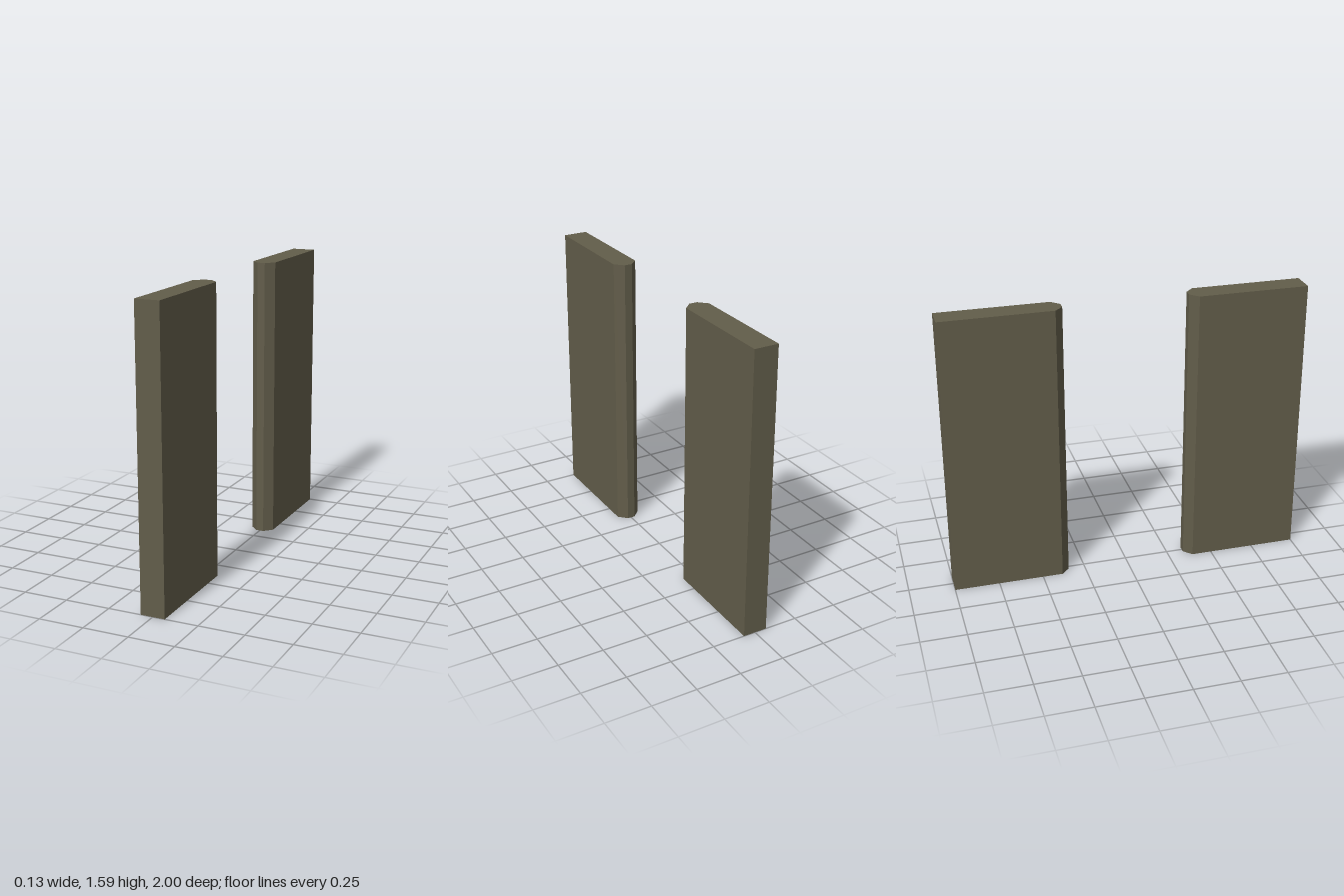
import * as THREE from 'three';

export function createModel() {
  const group = new THREE.Group();
  group.name = 'wallPair';

  const wallPaint = new THREE.MeshStandardMaterial({ color: 0x625d4a });
  wallPaint.name = 'drabOlive';

  const height = 1.59, half = 0.067, tip = 0.022;
  const outer = 1, shoulder = 0.388, inner = 0.343;

  // Plan outline: square outer end, chamfered inner end
  const plan = new THREE.Shape([
    [-half, outer], [-half, shoulder], [-tip, inner],
    [tip, inner], [half, shoulder], [half, outer],
  ].map(([x, y]) => new THREE.Vector2(x, y)));

  const geometry = new THREE.ExtrudeGeometry(plan, { depth: height, bevelEnabled: false });
  geometry.rotateX(-Math.PI / 2); // stand upright

  // Two facing wall panels with a gap between them
  [['backWall', 0], ['frontWall', Math.PI]].forEach(([name, turn]) => {
    const wall = new THREE.Mesh(geometry, wallPaint);
    wall.name = name;
    wall.rotation.y = turn;
    group.add(wall);
  });

  return group;
}
